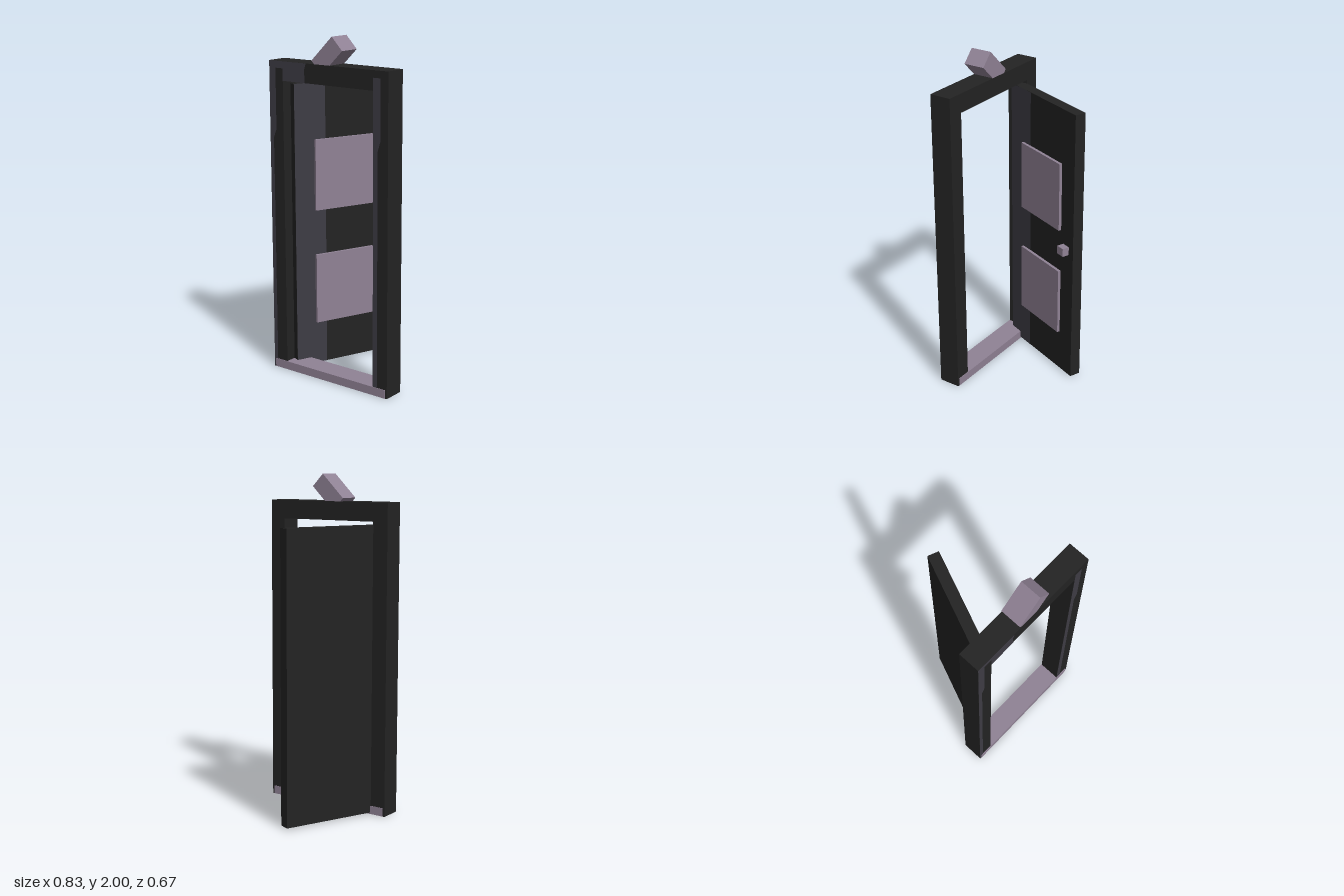
import * as THREE from 'three';

export function createModel() {
  const model = new THREE.Group();
  model.name = 'openDoor';

  const material = (name, color) => {
    const m = new THREE.MeshStandardMaterial({ color });
    m.name = name;
    return m;
  };
  const dark = material('charcoal', 0x232323);
  const slate = material('slate', 0x3e3c44);
  const mauve = material('mauve', 0x908295);

  // Box given by its low and high corner
  const box = (parent, name, mat, [x0, y0, z0], [x1, y1, z1]) => {
    const mesh = new THREE.Mesh(new THREE.BoxGeometry(x1 - x0, y1 - y0, z1 - z0), mat);
    mesh.position.set((x0 + x1) / 2, (y0 + y1) / 2, (z0 + z1) / 2);
    mesh.name = name;
    parent.add(mesh);
    return mesh;
  };

  // Flat painted patch facing +z
  const patch = (parent, name, points, z) => {
    const shape = new THREE.Shape(points.map(([x, y]) => new THREE.Vector2(x, y)));
    const mesh = new THREE.Mesh(new THREE.ShapeGeometry(shape), slate);
    mesh.position.z = z;
    mesh.name = name;
    parent.add(mesh);
  };

  // Frame: two jambs, lintel and sill
  const frame = new THREE.Group();
  frame.name = 'frame';
  model.add(frame);
  box(frame, 'rightJamb', dark, [-0.416, 0, 0.2], [-0.318, 1.73, 0.33]);
  box(frame, 'leftJamb', dark, [0.318, 0, 0.2], [0.416, 1.73, 0.33]);
  box(frame, 'lintel', dark, [-0.416, 1.73, 0.2], [0.416, 1.84, 0.33]);
  box(frame, 'sill', mauve, [-0.405, 0.001, 0.197], [0.405, 0.051, 0.334]);

  // Lighter paint on the front of the frame
  patch(frame, 'rightJambPaint', [
    [-0.416, 0], [-0.39, 0], [-0.39, 1.4], [-0.37, 1.45], [-0.37, 1.8], [-0.318, 1.8],
    [-0.318, 1.73], [-0.155, 1.73], [-0.16, 1.8], [-0.147, 1.84], [-0.416, 1.84],
  ], 0.3315);
  patch(frame, 'leftJambPaint', [
    [0.318, 0], [0.35, 0], [0.347, 1.4], [0.366, 1.46], [0.366, 1.8], [0.318, 1.8],
  ], 0.3315);

  // Tilted block resting on the lintel
  const block = box(model, 'topBlock', mauve, [-0.1, 1.84, 0.2005], [0.1, 1.942, 0.3295]);
  block.position.set(0, 1.892, 0.265);
  block.rotation.z = 0.77;

  // Door leaf, swung back around its hinge; local x runs from hinge to handle
  const door = new THREE.Group();
  door.name = 'door';
  door.position.set(-0.28, 0, 0.28);
  door.rotation.y = 1.188;
  model.add(door);
  box(door, 'doorLeaf', dark, [0, 0.01, -0.067], [0.635, 1.71, 0]);
  patch(door, 'doorPaint', [[0, 0.01], [0.2, 0.01], [0.2, 1.71], [0, 1.71]], 0.0015);
  for (const y of [0.27, 0.96]) {
    box(door, 'doorPanel', mauve, [0.126, y, -0.01], [0.516, y + 0.42, 0.018]);
  }
  box(door, 'doorHandle', mauve, [0.538, 0.83, -0.005], [0.594, 0.88, 0.043]);

  return model;
}
